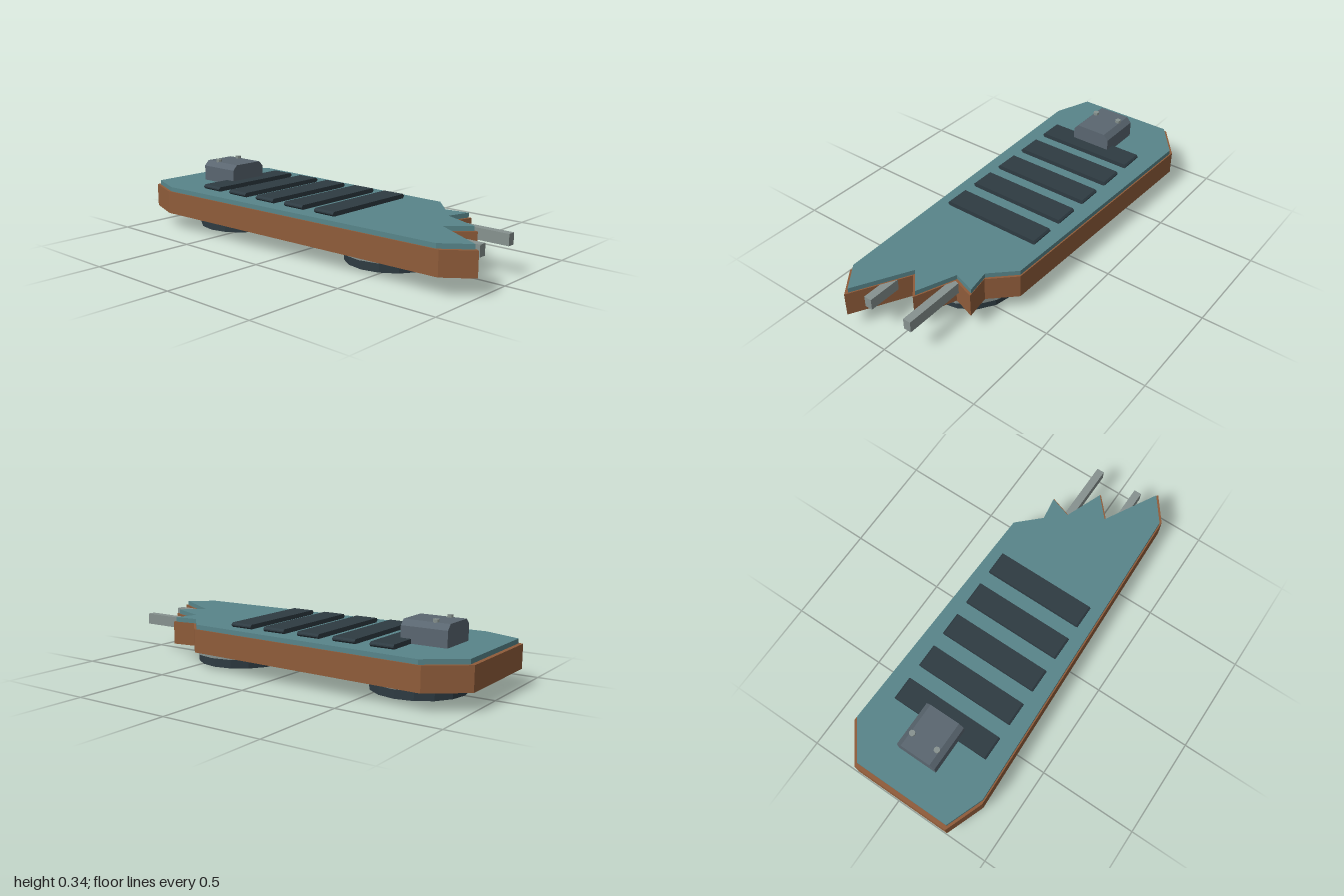
import * as THREE from 'three';

const mat = (name, color) => {
  const m = new THREE.MeshStandardMaterial({ color });
  m.name = name;
  return m;
};

const CX = -0.003; // centre line of the fittings

// Broken board outline as [x, z]
const OUTLINE = [
  [-0.29, -1], [0.225, -1], [0.36, -0.825], [0.318, 0.45], [0.203, 0.56], [0.222, 0.68],
  [0.11, 0.643], [0.033, 0.835], [-0.063, 0.73], [-0.213, 1], [-0.31, 0.872], [-0.363, -0.81],
];

// Outline raised into a slab between two heights
function slab(scale, y0, y1) {
  const shape = new THREE.Shape(OUTLINE.map(([x, z]) => new THREE.Vector2(x * scale, -z * scale)));
  const geo = new THREE.ExtrudeGeometry(shape, { depth: y1 - y0, bevelEnabled: false });
  return geo.rotateX(-Math.PI / 2).translate(0, y0, 0);
}

// Front-facing profile of [x, y] points drawn out along z
function prism(points, z0, z1) {
  const shape = new THREE.Shape(points.map(([x, y]) => new THREE.Vector2(x, y)));
  const geo = new THREE.ExtrudeGeometry(shape, { depth: z1 - z0, bevelEnabled: false });
  return geo.translate(CX, 0, z0);
}

export function createModel() {
  const wood = mat('wood', 0x8f5c3a);
  const teal = mat('teal', 0x58858a);
  const dark = mat('dark rubber', 0x2e3b42);
  const steel = mat('blue grey steel', 0x5a6670);
  const metal = mat('pale metal', 0x87928f);

  const model = new THREE.Group();
  model.name = 'brokenBoard';
  const add = (name, geo, material, x = 0, y = 0, z = 0) => {
    const mesh = new THREE.Mesh(geo, material);
    mesh.name = name;
    mesh.position.set(x, y, z);
    model.add(mesh);
  };

  // Board and its top sheet
  add('deck', slab(1, 0.084, 0.201), wood);
  add('topSheet', slab(0.98, 0.201, 0.224), teal);

  // Five grip strips with pointed ends
  const strip = prism([
    [-0.253, 0.224], [0.253, 0.224], [0.261, 0.232], [0.261, 0.238],
    [0.253, 0.246], [-0.253, 0.246], [-0.261, 0.238], [-0.261, 0.232],
  ], -0.059, 0.059);
  for (let i = 0; i < 5; i++) add('gripStrip', strip, dark, 0, 0, 0.201 - i * 0.195);

  // Chamfered housing with two small pegs
  add('housing', prism([
    [-0.105, 0.224], [0.105, 0.224], [0.105, 0.302],
    [0.08, 0.328], [-0.08, 0.328], [-0.105, 0.302],
  ], -0.815, -0.585), steel);
  const peg = new THREE.CylinderGeometry(0.015, 0.015, 0.023, 8).toNonIndexed();
  peg.computeVertexNormals();
  for (const s of [-1, 1]) add('peg', peg, metal, CX + s * 0.069, 0.3295, -0.74);

  // Rods sticking out of the broken edge
  const rod = new THREE.BoxGeometry(0.039, 0.055, 0.42);
  for (const s of [-1, 1]) add('rod', rod, metal, CX + s * 0.1135, 0.1735, 0.746);

  // Round pads below: metal collar and dark disc
  const disc = (r, h) => {
    const geo = new THREE.CylinderGeometry(r, r, h, 16).toNonIndexed();
    geo.computeVertexNormals();
    return geo;
  };
  const collar = disc(0.249, 0.036);
  const pad = disc(0.23, 0.048);
  for (const z of [0.402, -0.628]) {
    add('padCollar', collar, metal, CX, 0.066, z);
    add('pad', pad, dark, CX, 0.024, z);
  }
  return model;
}
